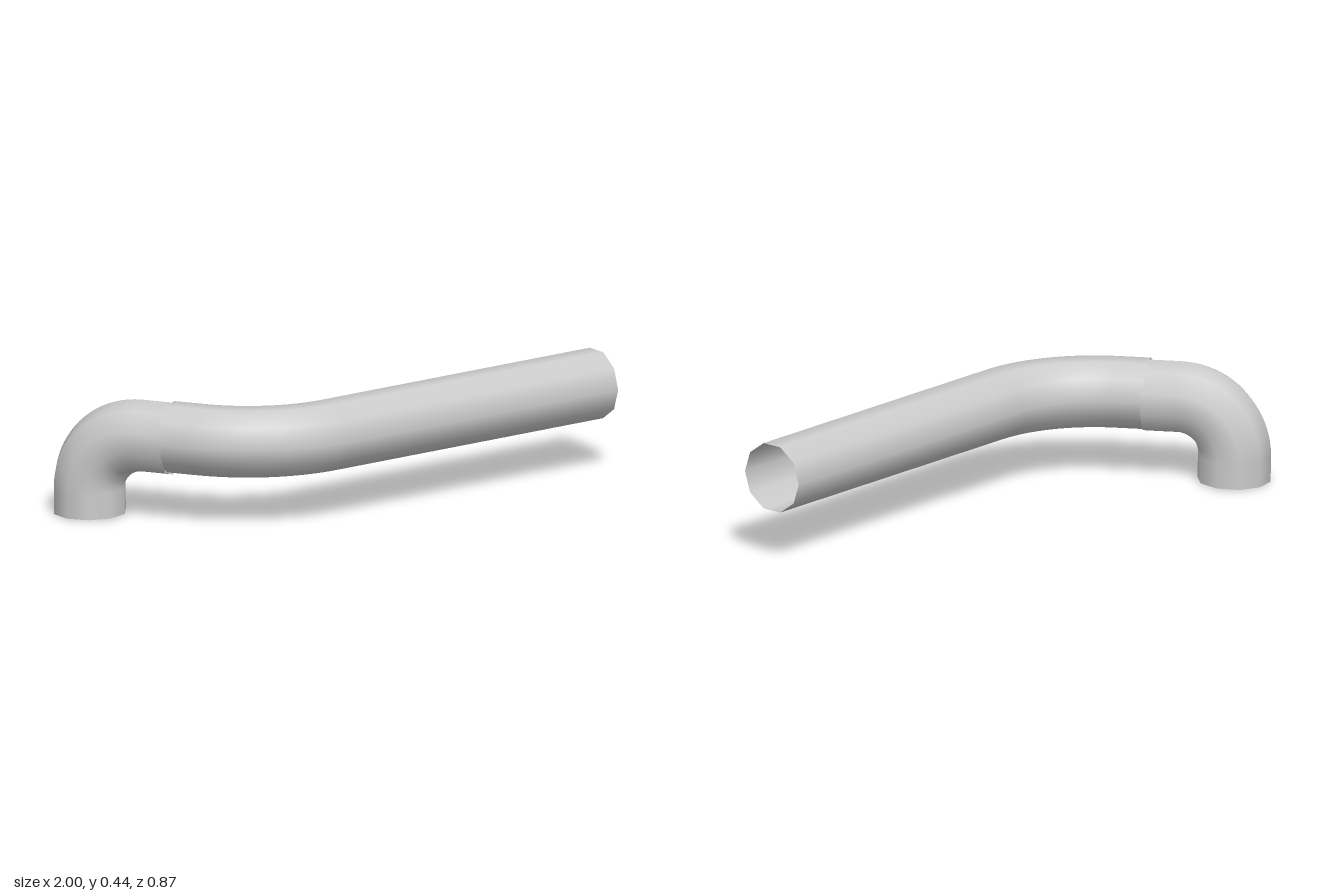
import * as THREE from 'three';

const SIDES = 10;
const material = new THREE.MeshStandardMaterial({ color: 0xcccccc, side: THREE.DoubleSide });

// Open ten-sided pipe: straight lead-in, bend from dir towards `toward`, straight lead-out
function pipe(name, { start, dir, toward, radius, leadIn = 0, bend = 0, angle = 0, leadOut = 0, steps = 20 }) {
  const rings = [];
  const at = (p, t, n, s) => p.clone().addScaledVector(t, s).addScaledVector(n, 0);
  const frame = (a) => ({
    t: dir.clone().multiplyScalar(Math.cos(a)).addScaledVector(toward, Math.sin(a)),
    n: toward.clone().multiplyScalar(-Math.cos(a)).addScaledVector(dir, Math.sin(a)),
  });
  if (leadIn) rings.push({ p: start.clone(), ...frame(0) });
  const bendStart = at(start, dir, toward, leadIn);
  const count = angle ? steps : 0;
  for (let i = 0; i <= count; i++) {
    const a = count ? (angle * i) / count : 0;
    const p = bendStart.clone()
      .addScaledVector(dir, bend * Math.sin(a))
      .addScaledVector(toward, bend * (1 - Math.cos(a)));
    rings.push({ p, ...frame(a) });
  }
  if (leadOut) {
    const last = rings[rings.length - 1];
    rings.push({ ...last, p: last.p.clone().addScaledVector(last.t, leadOut) });
  }

  const positions = [], normals = [], index = [];
  rings.forEach(({ p, t, n }, i) => {
    const b = t.clone().cross(n);
    for (let j = 0; j < SIDES; j++) {
      const a = (j / SIDES) * Math.PI * 2;
      const out = n.clone().multiplyScalar(Math.cos(a)).addScaledVector(b, Math.sin(a));
      normals.push(...out.toArray());
      positions.push(...p.clone().addScaledVector(out, radius).toArray());
      if (i < rings.length - 1) {
        const k = (j + 1) % SIDES;
        const p0 = i * SIDES + j, p1 = i * SIDES + k;
        index.push(p0, p1, p0 + SIDES, p1, p1 + SIDES, p0 + SIDES);
      }
    }
  });
  const geometry = new THREE.BufferGeometry();
  geometry.setAttribute('position', new THREE.Float32BufferAttribute(positions, 3));
  geometry.setAttribute('normal', new THREE.Float32BufferAttribute(normals, 3));
  geometry.setIndex(index);
  const mesh = new THREE.Mesh(geometry, material);
  mesh.name = name;
  return mesh;
}

export function createModel() {
  const group = new THREE.Group();
  group.name = 'bentPipe';
  const v = (x, y, z) => new THREE.Vector3(x, y, z);
  const turn = THREE.MathUtils.degToRad(58.5);
  const along = { dir: v(-1, 0, 0), toward: v(0, 0, -1), radius: 0.131 };
  const y = 0.313, z = 0.303;

  // Two straight lengths
  group.add(pipe('endPipe', { ...along, start: v(1, y, z), leadIn: 0.7 }));
  group.add(pipe('middlePipe', { ...along, start: v(0.3, y, z), leadIn: 0.53 }));

  // Sideways elbow, its end slipping into the next one
  group.add(pipe('sideElbow', {
    ...along, start: v(-0.23, y, z), bend: 0.486, angle: turn, leadOut: 0.117,
  }));

  // Slightly wider elbow turning down to the ground
  group.add(pipe('downElbow', {
    start: v(-0.7, 0.307, -0.02),
    dir: v(-Math.cos(turn), 0, -Math.sin(turn)),
    toward: v(0, -1, 0),
    radius: 0.1355, leadIn: 0.122, bend: 0.205,
    angle: THREE.MathUtils.degToRad(91), leadOut: 0.096,
  }));
  return group;
}
